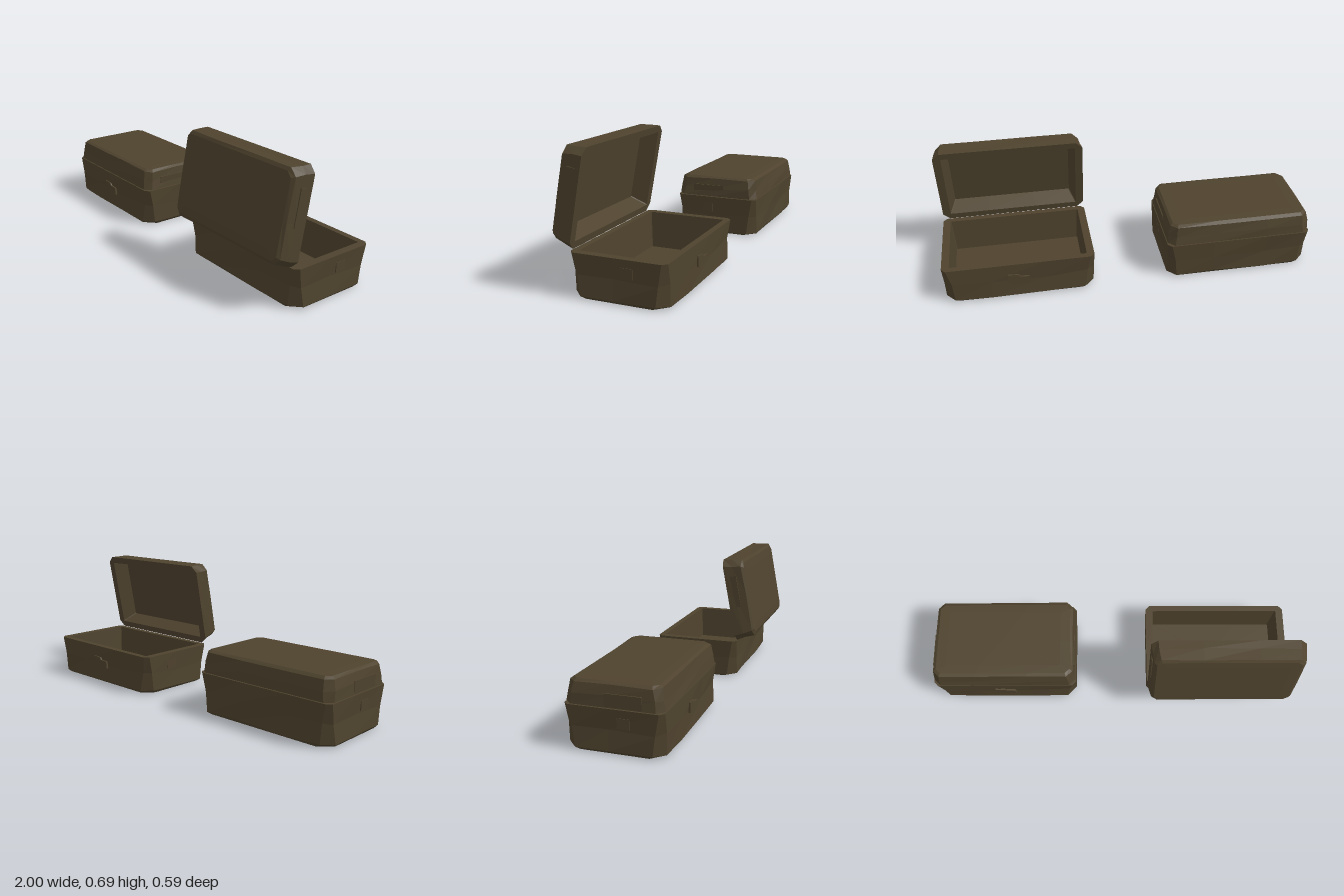
import * as THREE from 'three';

const wood = new THREE.MeshStandardMaterial({ color: 0x4f432e });
wood.name = 'dark brown wood';
wood.flatShading = true;

const W = 0.4, D = 0.2375, SEAM = 0.215;

// Small seeded generator for the hand-hewn unevenness
function seeded(seed) {
  let s = seed;
  return () => (s = (s * 16807) % 2147483647) / 2147483647;
}

// Rectangle with cut corners and extra points along its sides, dented inwards by up to "dent"
function ring({ y, w, d, cut = 0, dent = 0 }, rand) {
  const flat = [
    [w, d - cut], [w, 0.1 * d], [w, cut - d],
    [w - cut, -d], [w * 0.35, -d], [-w * 0.4, -d], [cut - w, -d],
    [-w, cut - d], [-w, -0.1 * d], [-w, d - cut],
    [cut - w, d], [-w * 0.4, d], [w * 0.35, d], [w - cut, d],
  ];
  return flat.map(([x, z]) => {
    const a = rand() * dent, b = rand() * dent, c = (rand() - 0.5) * dent * 2;
    return [x - Math.sign(x) * a, y + c, z - Math.sign(z) * b];
  });
}

// Skin a list of rings, each joined to the next
function loft(specs, seed) {
  const rand = seeded(seed);
  const rings = specs.map((s) => ring(s, rand));
  const n = rings[0].length, pos = [];
  for (let i = 0; i < rings.length - 1; i++) {
    for (let k = 0; k < n; k++) {
      const j = (k + 1) % n;
      const a = rings[i][k], b = rings[i][j], c = rings[i + 1][j], d = rings[i + 1][k];
      if (specs[i].w > 0) pos.push(...a, ...b, ...c);
      if (specs[i + 1].w > 0) pos.push(...a, ...c, ...d);
    }
  }
  const g = new THREE.BufferGeometry();
  g.setAttribute('position', new THREE.Float32BufferAttribute(pos, 3));
  g.computeVertexNormals();
  return g;
}

function part(name, geometry, parent, x = 0, y = 0, z = 0) {
  const m = new THREE.Mesh(geometry, wood);
  m.name = name;
  m.position.set(x, y, z);
  parent.add(m);
  return m;
}

function chest(name, lidAngle) {
  const g = new THREE.Group();
  g.name = name;

  // Hollow base: underside, outer walls, rim, inner walls, floor
  part('base', loft([
    { y: 0, w: 0, d: 0 },
    { y: 0, w: W - 0.015, d: D - 0.012, cut: 0.06 },
    { y: 0.014, w: W, d: D + 0.002, cut: 0.05, dent: 0.006 },
    { y: 0.11, w: W, d: D + 0.002, cut: 0.035, dent: 0.012 },
    { y: SEAM - 0.001, w: W, d: D + 0.002, cut: 0.022 },
    { y: SEAM - 0.001, w: W - 0.04, d: D - 0.03, cut: 0.004 },
    { y: 0.025, w: W - 0.05, d: D - 0.04, cut: 0.004 },
    { y: 0.025, w: 0, d: 0 },
  ], 77), g);

  // Latch plate on the front
  const s = new THREE.Shape();
  [[-0.062, 0.152], [-0.008, 0.148], [0, 0.135], [0.048, 0.132], [0.052, 0.092], [-0.025, 0.085], [-0.062, 0.1]]
    .reverse().forEach(([x, y], i) => (i ? s.lineTo(x, y) : s.moveTo(x, y)));
  part('latch', new THREE.ExtrudeGeometry(s, { depth: 0.022, bevelEnabled: false }), g, 0, 0, D - 0.014);

  // Lid, swinging on the back edge
  const lid = new THREE.Group();
  lid.name = 'lid';
  lid.position.set(0, SEAM + 0.002, -D);
  lid.rotation.x = lidAngle;
  g.add(lid);
  part('lidShell', loft([
    { y: 0.085, w: 0, d: 0 },
    { y: 0.085, w: W - 0.075, d: D - 0.065, cut: 0.004 },
    { y: 0, w: W - 0.045, d: D - 0.035, cut: 0.004 },
    { y: 0, w: W - 0.003, d: D, cut: 0.035 },
    { y: 0.05, w: W - 0.004, d: D - 0.002, cut: 0.035, dent: 0.009 },
    { y: 0.103, w: W - 0.014, d: D - 0.014, cut: 0.035, dent: 0.004 },
    { y: 0.113, w: W - 0.032, d: D - 0.034, cut: 0.025 },
    { y: 0.115, w: W - 0.085, d: D - 0.08, cut: 0.005 },
    { y: 0.115, w: 0, d: 0 },
  ], 4211), lid, 0, 0, D);

  // End plates on the lid and the small tabs below them
  for (const side of [-1, 1]) {
    const out = side < 0 ? 0.387 : 0.383;
    part('lidEndPlate', new THREE.BoxGeometry(0.02, 0.062, 0.18), lid, side * out, 0.034, D + 0.05);
    part('endTab', new THREE.BoxGeometry(0.02, 0.05, 0.06), g, side * 0.389, 0.15, 0.05);
  }
  return g;
}

export function createModel() {
  const model = new THREE.Group();
  model.name = 'chests';
  const closed = chest('closedChest', 0);
  closed.position.set(-0.6, 0, -0.045);
  // The open chest faces the other way
  const open = chest('openChest', THREE.MathUtils.degToRad(-79.3));
  open.position.set(0.6, 0, -0.05);
  open.rotation.y = Math.PI;
  model.add(closed, open);
  return model;
}
